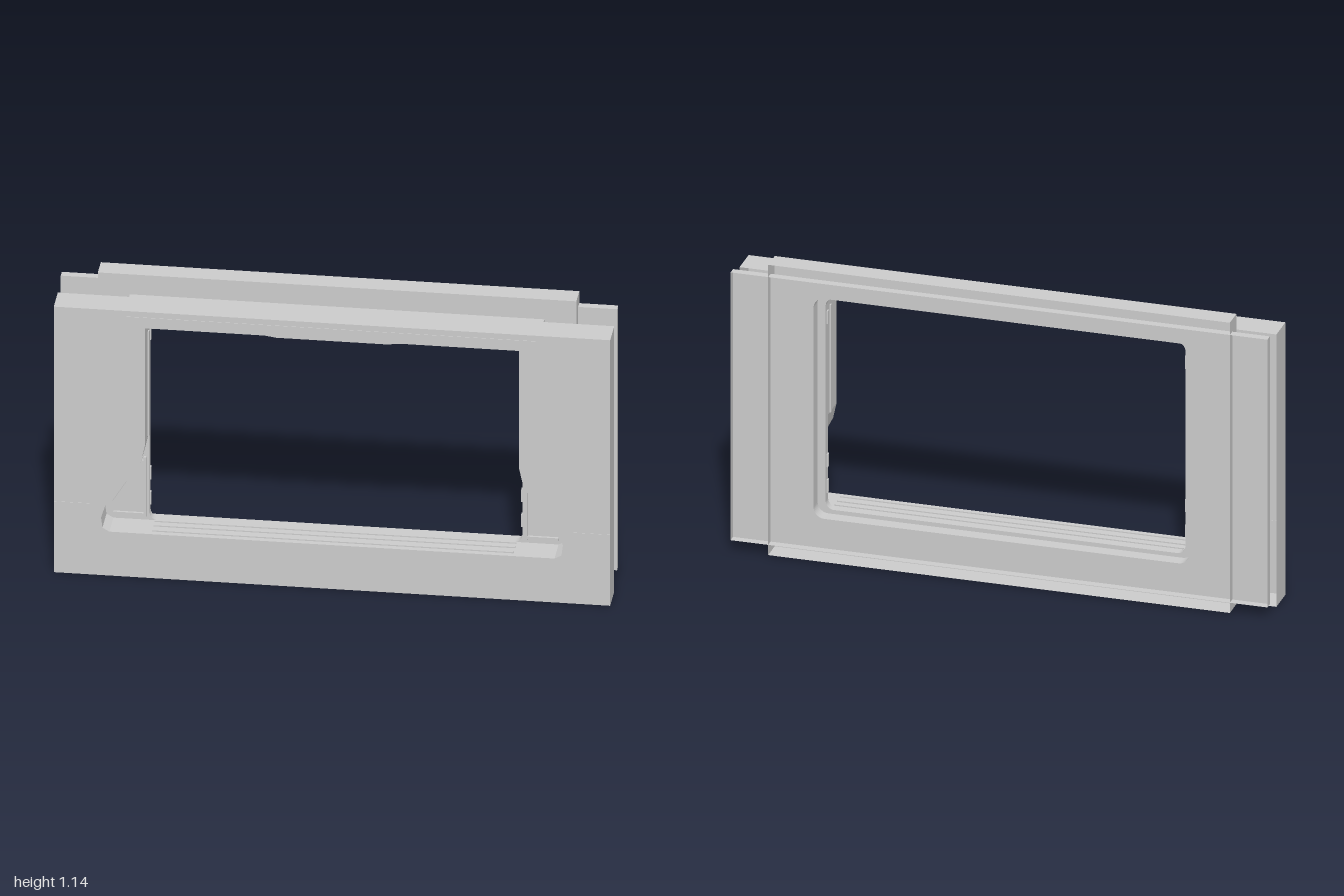
import * as THREE from 'three';

const mat = new THREE.MeshStandardMaterial({ color: 0xcccccc, side: THREE.DoubleSide });

// Closed counter-clockwise outlines as lists of Vector2
const poly = (pts) => pts.map(([x, y]) => new THREE.Vector2(x, y));
const rect = (hx, y0, y1) => poly([[-hx, y0], [hx, y0], [hx, y1], [-hx, y1]]);
const mirrored = (right) =>
  poly([...right, ...right.map(([x, y]) => [-x, y]).reverse()]);

function roundedRect(hx, y0, y1, r) {
  const s = new THREE.Shape();
  s.absarc(hx - r, y0 + r, r, -Math.PI / 2, 0);
  s.absarc(hx - r, y1 - r, r, 0, Math.PI / 2);
  s.absarc(-hx + r, y1 - r, r, Math.PI / 2, Math.PI);
  s.absarc(-hx + r, y0 + r, r, Math.PI, Math.PI * 1.5);
  return s.getPoints(6);
}

function add(parent, name, geometry, x = 0, y = 0, z = 0) {
  const m = new THREE.Mesh(geometry, mat);
  m.name = name;
  m.position.set(x, y, z);
  parent.add(m);
  return m;
}

const box = (parent, name, w, h, d, x, y, z) =>
  add(parent, name, new THREE.BoxGeometry(w, h, d), x, y, z);

function holed(outline, hole) {
  const s = new THREE.Shape(outline);
  if (hole) s.holes.push(new THREE.Path(hole));
  return s;
}

// Thin wall following an outline from depth z0 to z1
function wall(outline, z0, z1) {
  const pos = [];
  outline.forEach((a, i) => {
    const b = outline[(i + 1) % outline.length];
    pos.push(a.x, a.y, z0, b.x, b.y, z0, b.x, b.y, z1);
    pos.push(a.x, a.y, z0, b.x, b.y, z1, a.x, a.y, z1);
  });
  const g = new THREE.BufferGeometry();
  g.setAttribute('position', new THREE.Float32BufferAttribute(pos, 3));
  g.computeVertexNormals();
  return g;
}

// Tray with a front face and an open back
function tray(parent, name, outline, hole, zBack, zFront) {
  const g = new THREE.Group();
  g.name = name;
  add(g, name + 'Face', new THREE.ShapeGeometry(holed(outline, hole)), 0, 0, zFront);
  add(g, name + 'Rim', wall(outline, zBack, zFront));
  parent.add(g);
}

export function createModel() {
  const model = new THREE.Group();
  model.name = 'windowFrame';

  // Front opening, splayed at the lower corners
  const splay = [[0.8, 0.176], [0.825, 0.19], [0.83, 0.23], [0.815, 0.28],
    [0.71, 0.42], [0.685, 0.47], [0.672, 0.53], [0.672, 1.0]];
  const frontHole = mirrored(splay);
  const opening = roundedRect(0.67, 0.176, 1.0, 0.03);
  const backHole = roundedRect(0.7, 0.16, 1.02, 0.04);

  // Front surround
  tray(model, 'frontSurround', rect(1, 0, 1.065), frontHole, 0, 0.11);
  add(model, 'frontReveal', wall(frontHole.slice().reverse(), 0, 0.11));

  // Rear trays: a taller narrow one and a wider shallow one
  tray(model, 'rearFrame', rect(0.86, 0.005, 1.14), backHole, -0.11, -0.03);
  tray(model, 'rearFlange', rect(1, 0.045, 1.092), backHole, -0.11, -0.08);

  // Inner trim between front and rear
  const trim = mirrored([[0.8, 0.146], [0.84, 0.19], [0.84, 0.24], [0.745, 0.46], [0.745, 1.06]]);
  add(model, 'innerTrim', new THREE.ExtrudeGeometry(holed(trim, opening),
    { depth: 0.03, bevelEnabled: false }), 0, 0, -0.03);
  add(model, 'rearReveal', wall(backHole.slice().reverse(), -0.08, -0.03));

  // Header with end tabs and a shallow drop below its middle
  box(model, 'headerStrip', 1.49, 0.042, 0.004, 0, 1.022, 0.11);
  const drop = mirrored([[0.2, 0.994], [0.25, 1.001]]);
  add(model, 'headerDrop', new THREE.ExtrudeGeometry(new THREE.Shape(drop),
    { depth: 0.11, bevelEnabled: false }));
  box(model, 'headerRail', 1.3, 0.006, 0.012, 0, 0.999, -0.01);

  // Sill ribs
  for (const z of [0.01, 0.045, 0.085]) box(model, 'sillRib', 1.3, 0.005, 0.008, 0, 0.178, z);

  for (const s of [-1, 1]) {
    // Jamb strip and latch plates
    box(model, 'jambStrip', 0.006, 0.42, 0.012, s * 0.67, 0.74, 0.03);
    for (const y of [0.26, 0.36, 0.92])
      box(model, 'latchPlate', 0.006, 0.05, 0.016, s * 0.668, y, -0.012);
    // Raised ribs on the splayed corner
    box(model, 'cornerRibLow', 0.11, 0.01, 0.01, s * 0.745, 0.2, 0.004);
    box(model, 'cornerRibUpright', 0.01, 0.24, 0.01, s * 0.685, 0.31, 0.004);
    box(model, 'cornerRibSlanted', 0.01, 0.2, 0.01, s * 0.745, 0.33, 0.004).rotation.z = s * 0.55;
    // Rectangular cover on the outer lower side
    box(model, 'sideCover', 0.14, 0.1, 0.003, s * 0.929, 0.235, 0.11);
  }
  return model;
}
